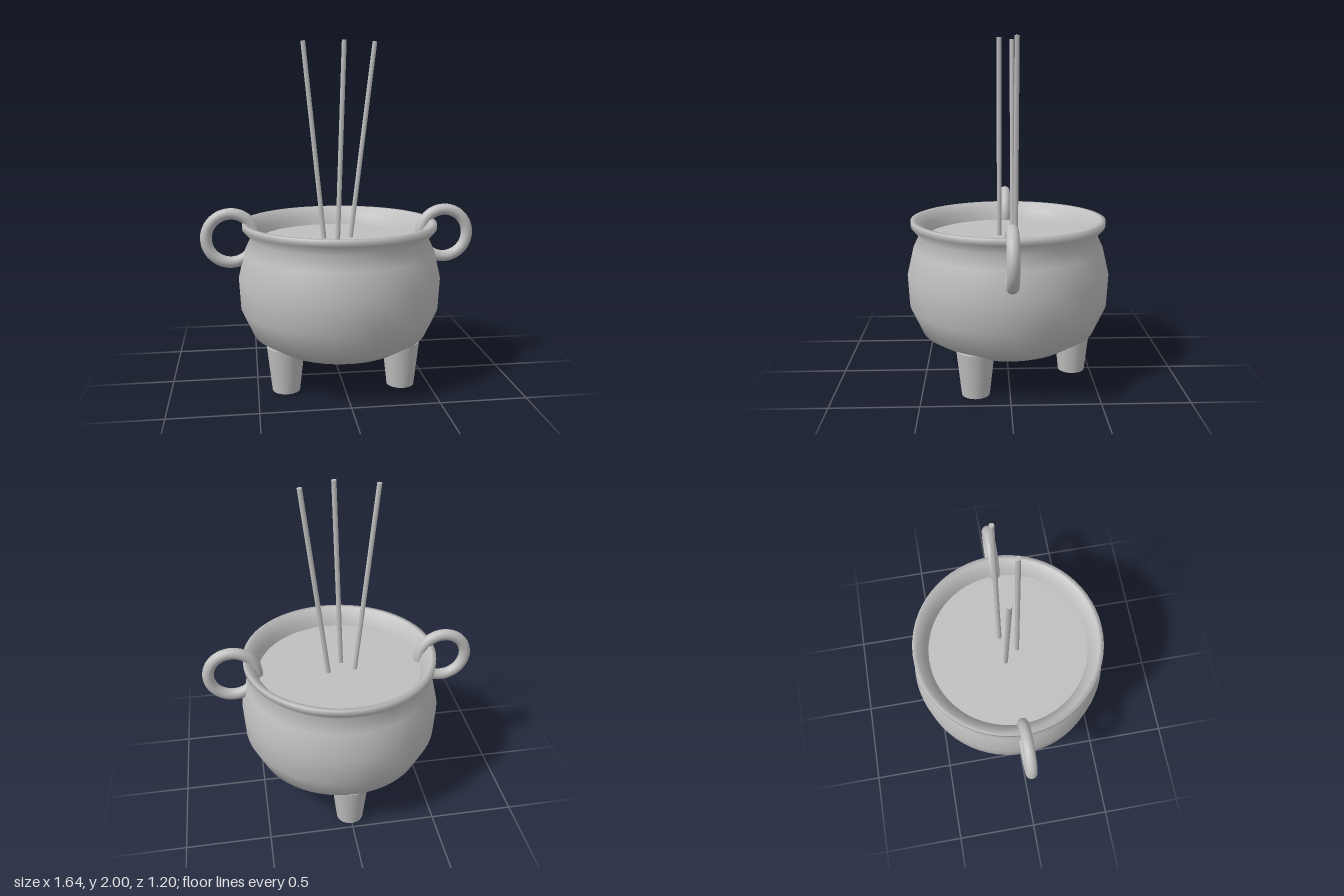
import * as THREE from 'three';

export function createModel() {
  const model = new THREE.Group();
  model.name = 'incenseBurner';
  const grey = new THREE.MeshStandardMaterial({ color: 0xbfbfbf });
  grey.name = 'plain grey';

  const add = (name, geometry, x = 0, y = 0, z = 0) => {
    const mesh = new THREE.Mesh(geometry, grey);
    mesh.name = name;
    mesh.position.set(x, y, z);
    model.add(mesh);
    return mesh;
  };

  // Round pot: closed base, belly, neck, flared lip and inner wall
  const profile = [
    [0, 0.212], [0.395, 0.212], [0.52, 0.291], [0.59, 0.445], [0.6, 0.627],
    [0.564, 0.782], [0.526, 0.864], [0.575, 0.918], [0.575, 0.954],
    [0.548, 0.954], [0.505, 0.9], [0.485, 0.835],
  ].map(([r, y]) => new THREE.Vector2(r, y));
  add('pot', new THREE.LatheGeometry(profile, 64));

  // Flat bed of ash inside the pot
  add('ashBed', new THREE.CircleGeometry(0.49, 64).rotateX(-Math.PI / 2), 0, 0.845, 0);

  // Three tapered legs, one at the back
  const legGeometry = new THREE.CylinderGeometry(0.11, 0.08, 0.265, 32);
  for (let i = 0; i < 3; i++) {
    const angle = Math.PI + (i * Math.PI * 2) / 3;
    add('leg', legGeometry, 0.39 * Math.sin(angle), 0.1325, 0.39 * Math.cos(angle));
  }

  // Ring handles
  const ringGeometry = new THREE.TorusGeometry(0.144, 0.034, 20, 48);
  add('leftHandle', ringGeometry, 0.64, 0.866, 0);
  add('rightHandle', ringGeometry, -0.64, 0.866, 0);

  // Leaning incense sticks: x at the ash, x at the tip, z
  const up = new THREE.Vector3(0, 1, 0);
  for (const [x0, x1, z] of [[-0.088, -0.207, -0.03], [-0.017, 0.021, 0.052], [0.073, 0.214, -0.042]]) {
    const foot = new THREE.Vector3(x0, 0.84, z);
    const tip = new THREE.Vector3(x1, 1.9985, z);
    const mid = foot.clone().lerp(tip, 0.5);
    const stick = add('incenseStick', new THREE.CylinderGeometry(0.014, 0.014, foot.distanceTo(tip), 8), mid.x, mid.y, mid.z);
    stick.quaternion.setFromUnitVectors(up, tip.sub(foot).normalize());
  }
  return model;
}
